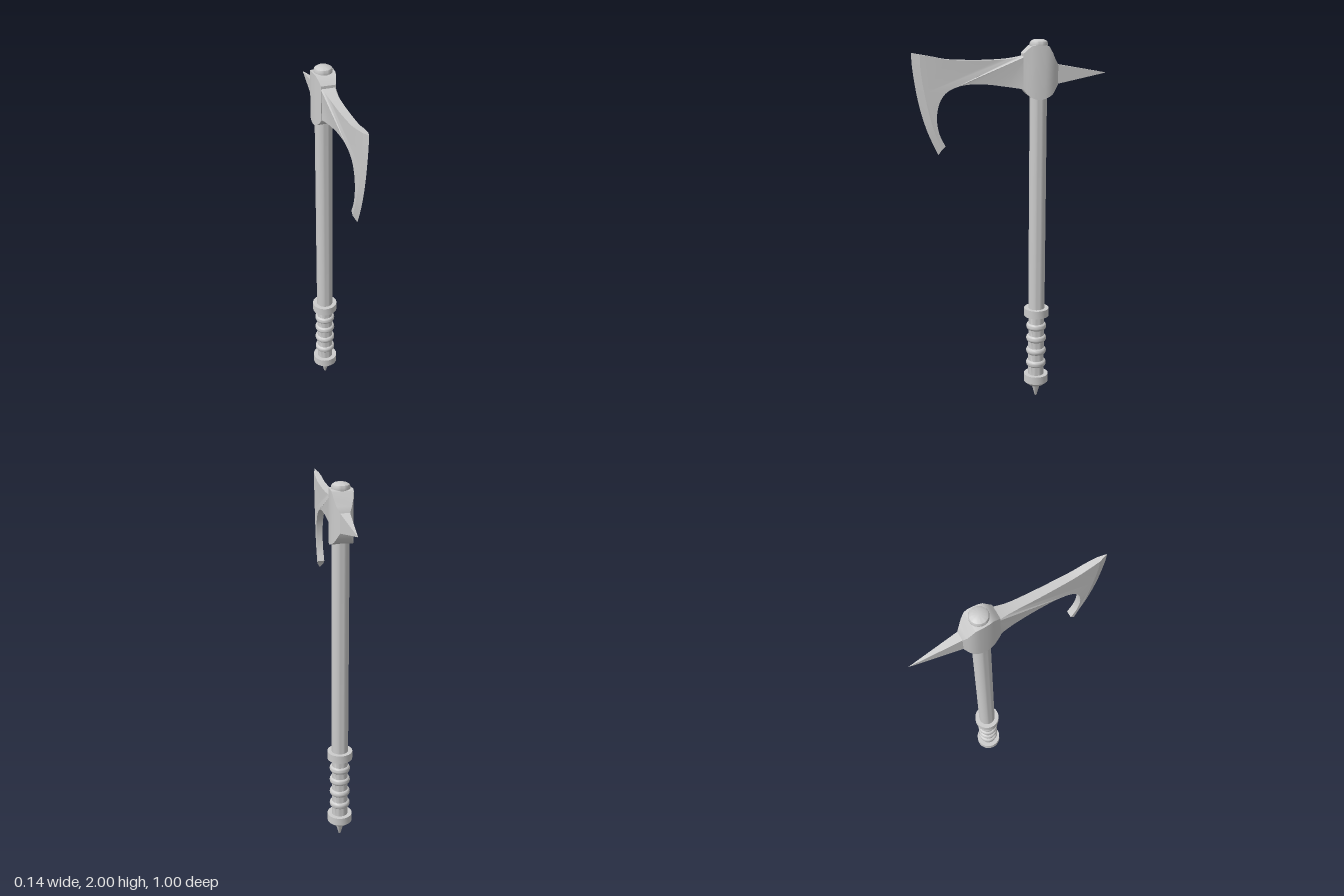
import * as THREE from 'three';
import { toCreasedNormals } from 'three/addons/utils/BufferGeometryUtils.js';

const AXIS_Z = -0.145;
const material = new THREE.MeshStandardMaterial({ color: 0xcccccc });

function part(name, geometry, crease = 0.6) {
  const mesh = new THREE.Mesh(toCreasedNormals(geometry, crease), material);
  mesh.name = name;
  return mesh;
}

function lathe(name, profile) {
  const geo = new THREE.LatheGeometry(profile.map(([r, y]) => new THREE.Vector2(r, y)), 32);
  const mesh = part(name, geo);
  mesh.position.z = AXIS_Z;
  return mesh;
}

function spline(points, count) {
  return new THREE.SplineCurve(points.map(([z, y]) => new THREE.Vector2(z, y))).getPoints(count);
}

function buffer(triangles) {
  const geo = new THREE.BufferGeometry();
  geo.setAttribute('position', new THREE.Float32BufferAttribute(triangles.flat(), 3));
  geo.computeVertexNormals();
  return geo;
}

// Rectangular sections [z, halfWidth, yBottom, yTop] joined from front to back
function loft(sections) {
  const rings = sections.map(([z, w, b, t]) => [[-w, b, z], [w, b, z], [w, t, z], [-w, t, z]]);
  const tris = [];
  const quad = (a, b, c, d) => tris.push(a, b, c, a, c, d);
  quad(...rings[0]);
  for (let i = 0; i < rings.length - 1; i++) {
    for (let k = 0; k < 4; k++) {
      const n = (k + 1) % 4;
      quad(rings[i][k], rings[i + 1][k], rings[i + 1][n], rings[i][n]);
    }
  }
  quad(...rings[rings.length - 1].slice().reverse());
  return buffer(tris);
}

// Blade half thickness, tapering from the head towards the edge
function halfThickness(z) {
  const table = [[-0.07, 0.037], [-0.03, 0.029], [0.03, 0.024], [0.2, 0.021], [0.4, 0.017], [0.47, 0.012]];
  for (let i = 1; i < table.length; i++) {
    const [z0, w0] = table[i - 1], [z1, w1] = table[i];
    if (z <= z1) return THREE.MathUtils.mapLinear(z, z0, z1, w0, w1);
  }
  return 0.012;
}

const bevelLine = spline([[0.46, 1.93], [0.46, 1.85], [0.437, 1.7], [0.405, 1.565], [0.362, 1.447]], 16);
const edgeLine = spline([[0.505, 1.94], [0.499, 1.845], [0.475, 1.69], [0.435, 1.545], [0.38, 1.418]], 16);

function bladeBody() {
  const top = spline([[-0.08, 1.92], [-0.03, 1.91], [0.035, 1.902], [0.14, 1.898], [0.245, 1.9], [0.33, 1.905], [0.405, 1.92], [0.46, 1.93]], 24);
  const beard = spline([[0.343, 1.465], [0.373, 1.53], [0.384, 1.61], [0.368, 1.69], [0.325, 1.745],
    [0.245, 1.775], [0.14, 1.778], [0.035, 1.765], [-0.08, 1.748]], 36);
  const outline = [...top, ...bevelLine.slice(1), ...beard];
  const shape = new THREE.Shape(outline.map(p => new THREE.Vector2(-p.x, p.y)));
  const geo = new THREE.ExtrudeGeometry(shape, { depth: 2, bevelEnabled: false });
  geo.translate(0, 0, -1).rotateY(Math.PI / 2);
  const pos = geo.attributes.position;
  for (let i = 0; i < pos.count; i++) pos.setX(i, pos.getX(i) * halfThickness(pos.getZ(i)));
  geo.computeVertexNormals();
  return geo;
}

// Sharpened wedge from the bevel line out to the cutting edge
function cuttingEdge() {
  const tris = [];
  const bevel = (i, s) => [s * halfThickness(bevelLine[i].x), bevelLine[i].y, bevelLine[i].x];
  const edge = i => [0, edgeLine[i].y, edgeLine[i].x];
  const last = edgeLine.length - 1;
  for (let i = 0; i < last; i++) {
    tris.push(bevel(i, 1), edge(i), edge(i + 1), bevel(i, 1), edge(i + 1), bevel(i + 1, 1));
    tris.push(bevel(i, -1), edge(i + 1), edge(i), bevel(i, -1), bevel(i + 1, -1), edge(i + 1));
  }
  tris.push(edge(0), bevel(0, 1), bevel(0, -1));
  tris.push(edge(last), bevel(last, -1), bevel(last, 1));
  return buffer(tris);
}

export function createModel() {
  const axe = new THREE.Group();
  axe.name = 'axe';

  // Handle
  axe.add(lathe('shaft', [[0, 0.52], [0.045, 0.52], [0.045, 1.96], [0, 1.96]]));
  axe.add(lathe('topCap', [[0, 1.945], [0.04, 1.945], [0.046, 1.96], [0.047, 1.978], [0.043, 1.989], [0.03, 1.997], [0, 2]]));
  axe.add(lathe('gripCollar', [[0, 0.495], [0.068, 0.495], [0.068, 0.54], [0, 0.54]]));
  axe.add(lathe('pommel', [[0, 0.078], [0.045, 0.078], [0.068, 0.098], [0.068, 0.143], [0, 0.143]]));
  axe.add(lathe('pommelSpike', [[0, 0], [0.006, 0.006], [0.026, 0.08], [0, 0.08]]));

  // Grip with four rounded ridges
  const grip = [[0.044, 0.13]];
  for (const y of [0.21, 0.285, 0.36, 0.432]) {
    for (let k = 0; k <= 8; k++) {
      const a = (k / 8) * Math.PI;
      grip.push([0.044 + 0.012 * Math.sin(a), y - 0.018 * Math.cos(a)]);
    }
  }
  grip.push([0.044, 0.51]);
  axe.add(lathe('grip', grip));

  // Head
  const head = new THREE.Group();
  head.name = 'head';
  head.add(part('socket', loft([
    [-0.06, 0.038, 1.75, 1.93], [-0.075, 0.042, 1.728, 1.945], [-0.1, 0.05, 1.708, 1.967],
    [-0.12, 0.054, 1.7, 1.97], [-0.145, 0.056, 1.695, 1.97], [-0.17, 0.056, 1.702, 1.97],
    [-0.19, 0.054, 1.71, 1.965], [-0.21, 0.047, 1.722, 1.932], [-0.225, 0.038, 1.742, 1.9],
    [-0.243, 0.025, 1.772, 1.872],
  ])));
  head.add(part('blade', bladeBody(), 0.4));
  head.add(part('cuttingEdge', cuttingEdge(), 0.4));
  head.add(part('backSpike', loft([[-0.235, 0.025, 1.773, 1.873], [-0.5, 0.0005, 1.824, 1.826]])));
  axe.add(head);

  return axe;
}
